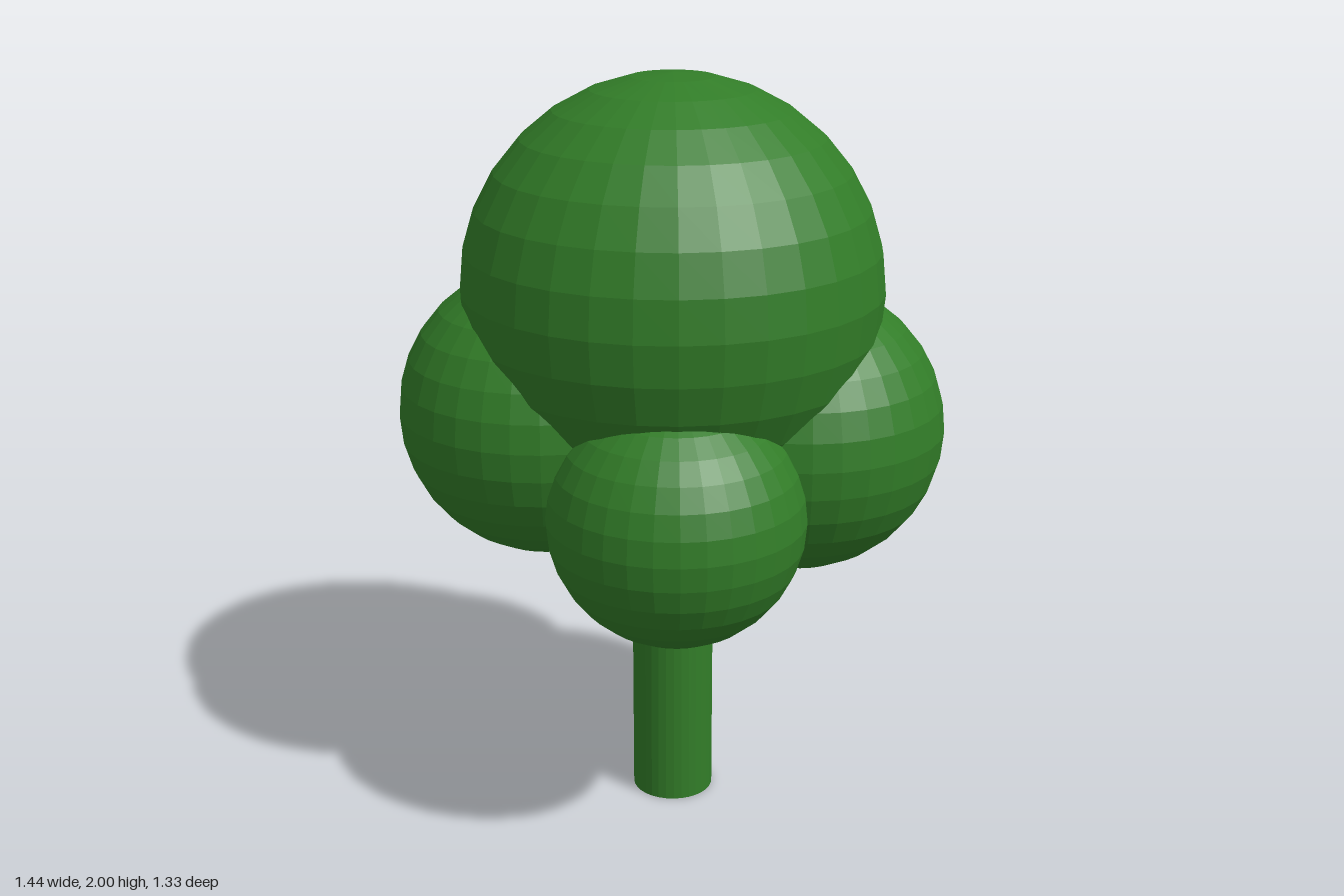
import * as THREE from 'three';

export function createModel() {
  const tree = new THREE.Group();
  tree.name = 'tree';
  const green = new THREE.MeshStandardMaterial({ color: 0x327d28, flatShading: true });

  const add = (name, geometry, x, y, z) => {
    const mesh = new THREE.Mesh(geometry, green);
    mesh.name = name;
    mesh.position.set(x, y, z);
    tree.add(mesh);
  };

  // Trunk, reaching up into the crown
  const trunkHeight = 1.1;
  add('trunk', new THREE.CylinderGeometry(0.11, 0.11, trunkHeight, 32), 0, trunkHeight / 2, 0);

  // Crown: one large ball with four smaller ones around its base
  const foliage = [
    ['crownTop', 0.55, 0, 1.45, 0],
    ['leftFoliage', 0.385, 0.335, 1.07, 0],
    ['rightFoliage', 0.385, -0.335, 1.125, 0],
    ['frontFoliage', 0.33, 0, 0.94, 0.335],
    ['backFoliage', 0.33, 0, 1.115, -0.335],
  ];
  for (const [name, radius, x, y, z] of foliage) {
    add(name, new THREE.SphereGeometry(radius, 32, 16), x, y, z);
  }

  return tree;
}
